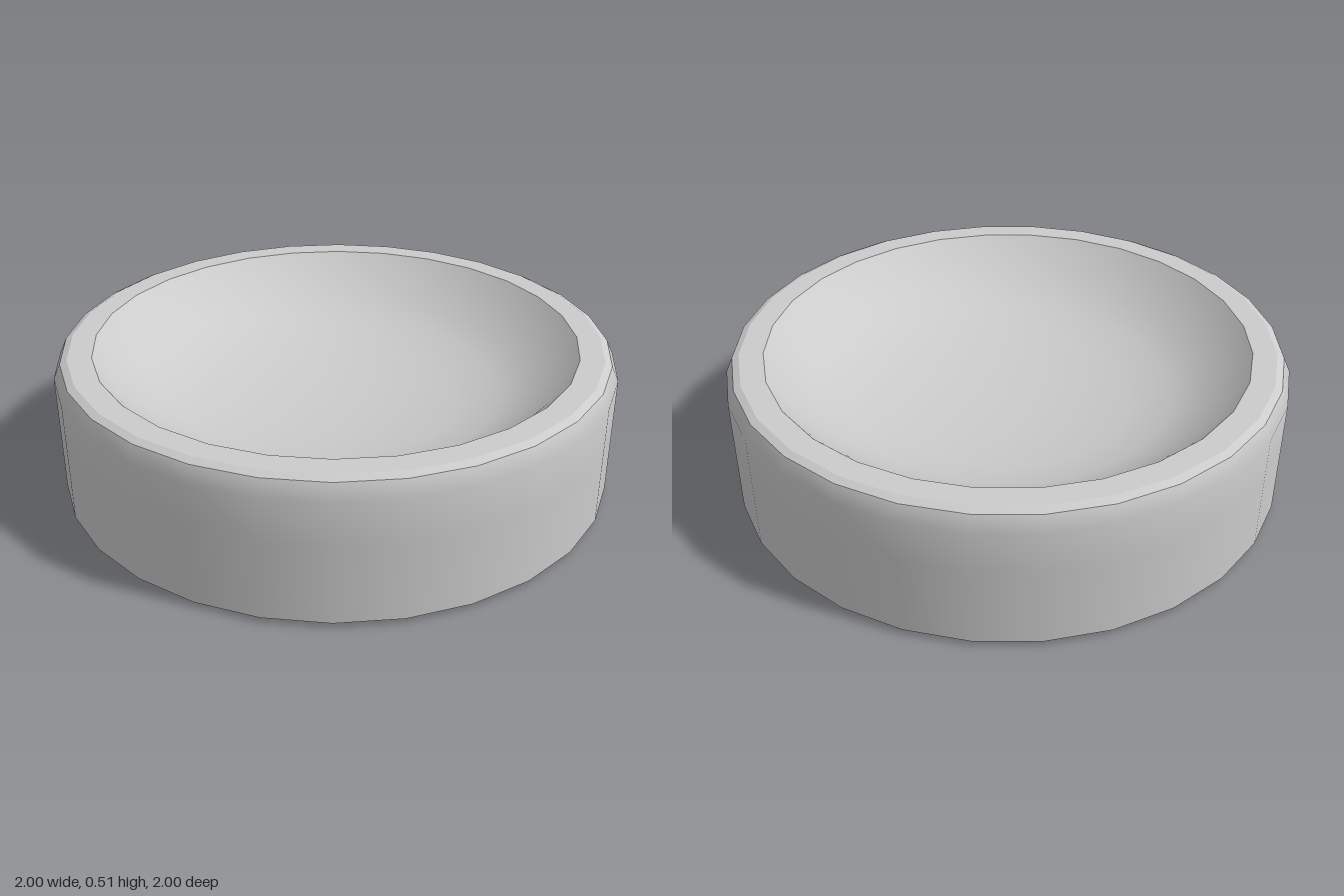
import * as THREE from 'three';

const SIDES = 28;

export function createModel() {
  const group = new THREE.Group();
  group.name = 'dish';
  const material = new THREE.MeshStandardMaterial({ color: 0xcccccc });

  // Each part is a turned profile of [radius, height]; seams between parts stay sharp
  const turn = (name, profile) => {
    const points = profile.map(([r, y]) => new THREE.Vector2(r, y));
    const mesh = new THREE.Mesh(new THREE.LatheGeometry(points, SIDES), material);
    mesh.name = name;
    group.add(mesh);
  };

  // Slightly domed underside
  turn('base', [[0, 0], [0.6, 0.007], [1, 0.017]]);

  // Straight wall with a softened shoulder
  turn('outerWall', [[1, 0.017], [1, 0.3], [1, 0.45], [0.975, 0.503]]);

  // Narrow bevel and flat lip
  turn('rimBevel', [[0.975, 0.503], [0.95, 0.515]]);
  turn('rim', [[0.95, 0.515], [0.865, 0.515]]);

  // Shallow rounded hollow, sloping from the lip to a nearly flat middle
  turn('hollow', [
    [0.865, 0.515], [0.8, 0.447], [0.7, 0.372], [0.6, 0.322],
    [0.45, 0.28], [0.25, 0.254], [0.1, 0.247], [0, 0.246],
  ]);

  return group;
}
